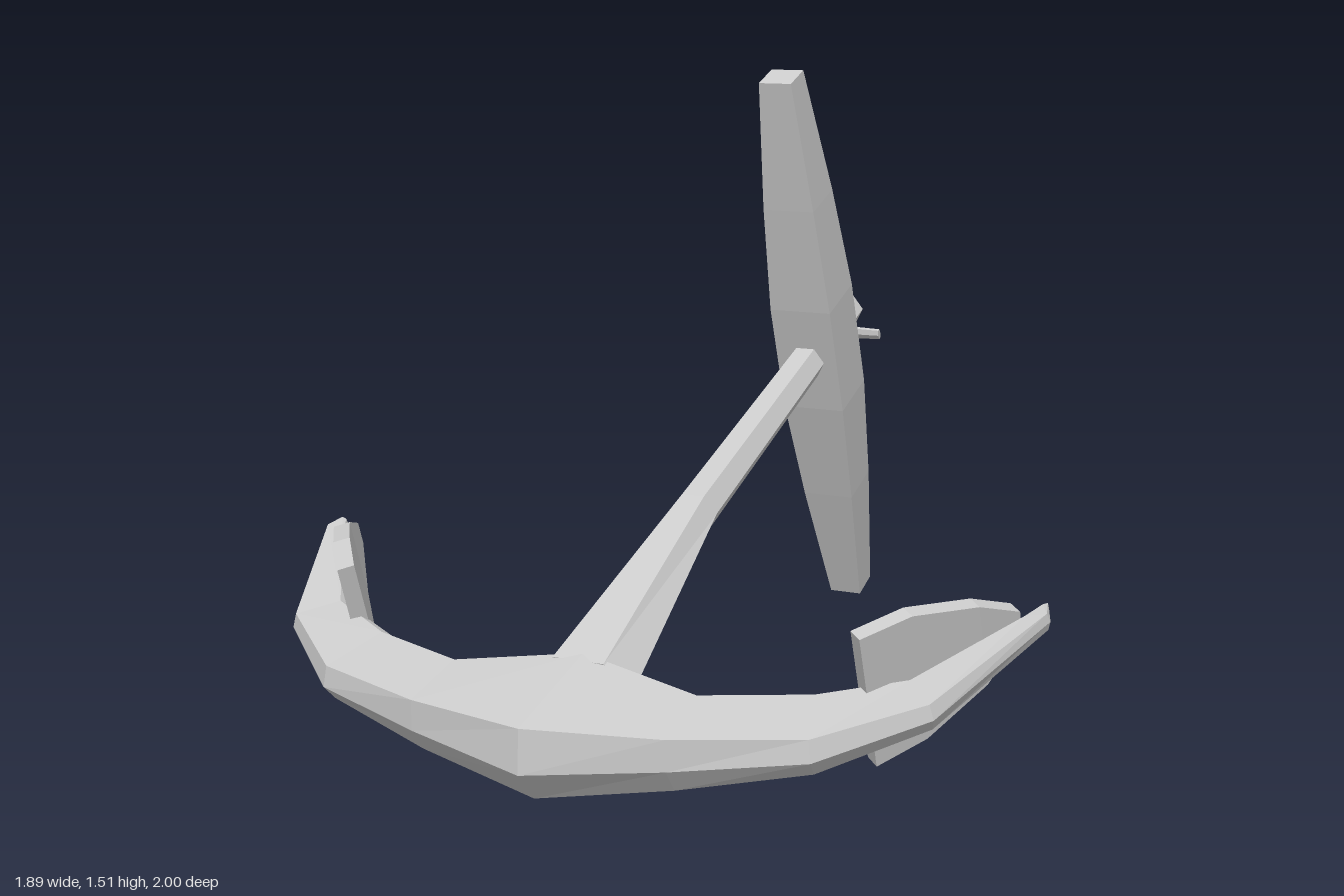
import * as THREE from 'three';

const material = new THREE.MeshStandardMaterial({ color: 0xcccccc, flatShading: true });

// Skins a list of equal-length [x, y, z] rings and caps both ends
function loft(name, rings) {
  const n = rings[0].length;
  const tris = [];
  for (let i = 0; i < rings.length - 1; i++) {
    for (let j = 0; j < n; j++) {
      const k = (j + 1) % n;
      const [a, b, c, d] = [rings[i][j], rings[i][k], rings[i + 1][k], rings[i + 1][j]];
      tris.push([a, b, c], [a, c, d]);
    }
  }
  const last = rings[rings.length - 1];
  for (let j = 1; j < n - 1; j++) {
    tris.push([rings[0][0], rings[0][j + 1], rings[0][j]], [last[0], last[j], last[j + 1]]);
  }
  // Signed volume tells whether the corners must be reversed
  let volume = 0;
  for (const [a, b, c] of tris) {
    const cross = new THREE.Vector3(...b).cross(new THREE.Vector3(...c));
    volume += new THREE.Vector3(...a).dot(cross);
  }
  if (volume < 0) tris.forEach((t) => t.reverse());
  const geometry = new THREE.BufferGeometry();
  geometry.setAttribute('position', new THREE.Float32BufferAttribute(tris.flat(2), 3));
  geometry.computeVertexNormals();
  const mesh = new THREE.Mesh(geometry, material);
  mesh.name = name;
  return mesh;
}

// Six-sided section across z, flat on top and bottom
const hexRing = (z, y, rx, ry) =>
  [[1, 0], [0.52, 1], [-0.52, 1], [-1, 0], [-0.52, -1], [0.52, -1]]
    .map(([u, v]) => [u * rx, y + v * ry, z]);

export function createModel() {
  const model = new THREE.Group();
  model.name = 'anchor';
  const anchor = new THREE.Group();
  anchor.name = 'tiltedAnchor';
  anchor.rotation.x = THREE.MathUtils.degToRad(20);
  model.add(anchor);

  // Shank, flaring where it enters the crown: z, centre y, half width, half height
  anchor.add(loft('shank', [
    [-1.135, 0.472, 0.046, 0.039],
    [-0.07, 0.483, 0.056, 0.047],
    [0.58, 0.438, 0.122, 0.072],
  ].map((s) => hexRing(...s))));

  // Stock: square bar tapering towards both ends
  const stockHalf = [[0.15, 0.085], [0.44, 0.07], [0.787, 0.044]];
  const stockSections = [...stockHalf.map(([y, r]) => [-y, r]).reverse(), ...stockHalf];
  anchor.add(loft('stock', stockSections.map(([y, r]) =>
    [[r, r], [r, -r], [-r, -r], [-r, r]].map(([x, z]) => [x, 0.479 + y, -0.907 + z]))));

  // Curved arms: outer x, outer z, inner x, inner z, half height
  const armHalf = [
    [0, 0.9, 0, 0.5, 0.095],
    [0.31, 0.816, 0.3, 0.585, 0.068],
    [0.6, 0.72, 0.535, 0.51, 0.046],
    [0.805, 0.527, 0.71, 0.42, 0.033],
    [0.947, 0.138, 0.885, 0.15, 0.022],
    [0.93, 0.09, 0.915, 0.092, 0.015],
  ];
  const armRing = ([ox, oz, ix, iz, h], side) =>
    [[0, 0], [0.1, 1], [0.87, 0.72], [1, 0], [0.87, -0.72], [0.1, -1]].map(([t, v]) => [
      side * THREE.MathUtils.lerp(ox, ix, t),
      0.442 + v * h,
      THREE.MathUtils.lerp(oz, iz, t),
    ]);
  anchor.add(loft('arms', [
    ...armHalf.slice(1).reverse().map((s) => armRing(s, -1)),
    ...armHalf.map((s) => armRing(s, 1)),
  ]));

  // Flukes: upright plates on the inside of each arm: x, z, half height
  const flukeSections = [
    [0.65, 0.505, 0.17],
    [0.73, 0.395, 0.165],
    [0.83, 0.255, 0.105],
    [0.885, 0.155, 0.03],
  ];
  for (const side of [-1, 1]) {
    anchor.add(loft(side > 0 ? 'leftFluke' : 'rightFluke', flukeSections.map(([x, z, h]) => [
      [side * x, 0.442 + h, z],
      [side * x, 0.442 - h, z],
      [side * (x - 0.03), 0.442 - h, z - 0.027],
      [side * (x - 0.03), 0.442 + h, z - 0.027],
    ])));
  }

  // Tapered locking pin behind the stock
  const pin = new THREE.Mesh(new THREE.CylinderGeometry(0.024, 0.015, 0.27, 6), material);
  pin.name = 'lockingPin';
  pin.rotation.z = Math.PI / 2;
  pin.scale.z = 0.6;
  pin.position.set(0.004, 0.468, -1.01);
  anchor.add(pin);

  return model;
}
